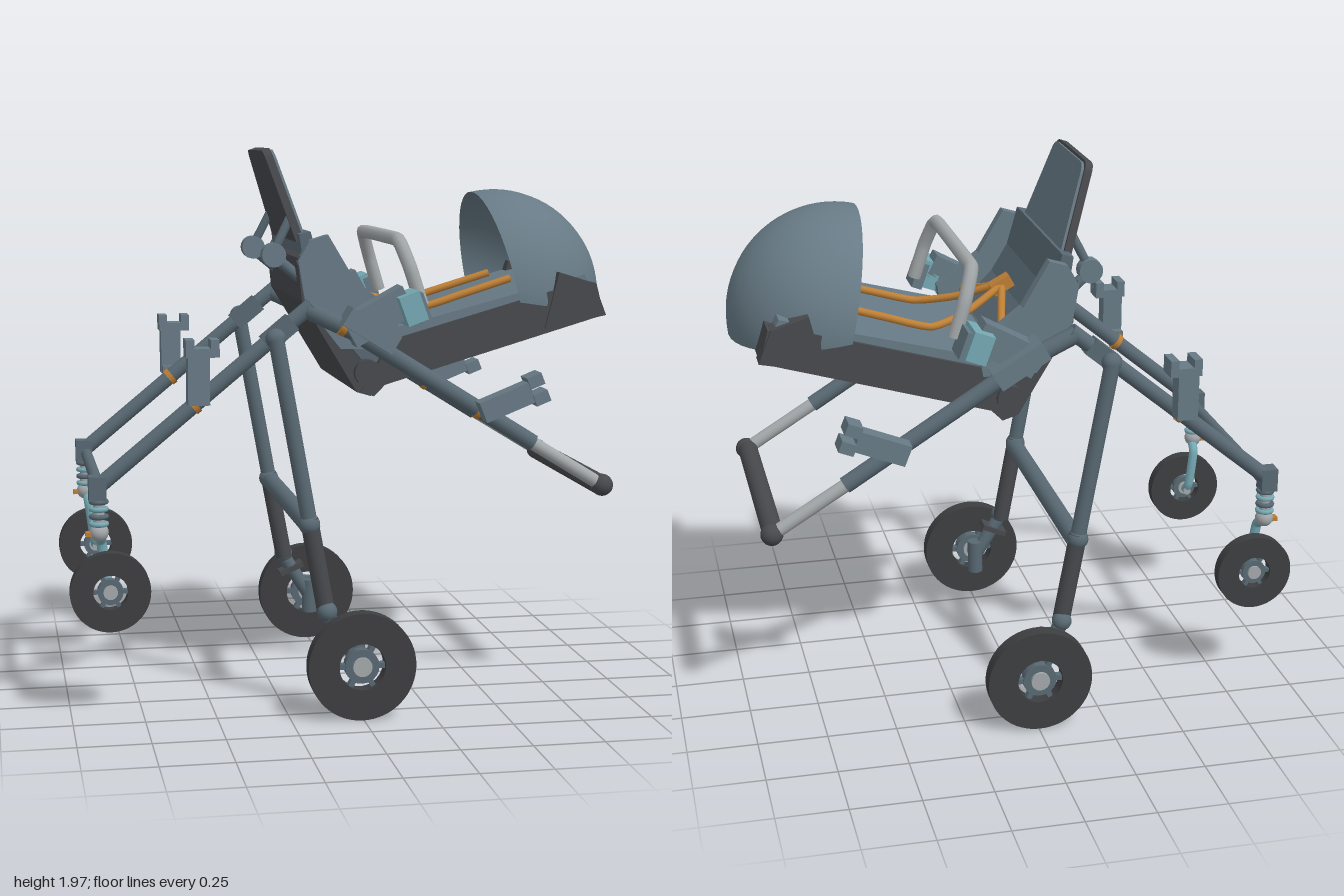
import * as THREE from 'three';
import { toCreasedNormals } from 'three/addons/utils/BufferGeometryUtils.js';

const paint = (name, color, side = THREE.FrontSide) => {
  const m = new THREE.MeshStandardMaterial({ color, side });
  m.name = name;
  return m;
};

export function createModel() {
  const slate = paint('slate', 0x677a85);
  const canopyMat = paint('canopySlate', 0x677a85, THREE.DoubleSide);
  const frame = paint('frameSlate', 0x586872);
  const dark = paint('charcoal', 0x47494d);
  const tyre = paint('tyre', 0x3d3e40);
  const silver = paint('silver', 0xa3a8aa);
  const teal = paint('teal', 0x76a9b4);
  const orange = paint('orange', 0xbd7f35);

  const root = new THREE.Group();
  root.name = 'stroller';
  const V = (p) => new THREE.Vector3(...p);

  const add = (name, geo, mat, pos = [0, 0, 0], rot = [0, 0, 0], parent = root) => {
    const m = new THREE.Mesh(geo, mat);
    m.name = name;
    m.position.set(...pos);
    m.rotation.set(...rot);
    parent.add(m);
    return m;
  };
  // straight tube between two points
  const rod = (name, mat, a, b, r, r2 = r) => {
    const d = V(b).sub(V(a));
    const m = add(name, new THREE.CylinderGeometry(r2, r, d.length(), 16), mat);
    m.position.copy(V(a)).addScaledVector(d, 0.5);
    m.quaternion.setFromUnitVectors(new THREE.Vector3(0, 1, 0), d.normalize());
    return m;
  };
  const ball = (name, mat, p, r) => add(name, new THREE.SphereGeometry(r, 16, 12), mat, p);
  const box = (name, mat, p, s, tilt = 0) => add(name, new THREE.BoxGeometry(...s), mat, p, [0, 0, tilt]);
  const bent = (name, mat, pts, r, tension = 0.3) => add(name, new THREE.TubeGeometry(
    new THREE.CatmullRomCurve3(pts.map(V), false, 'catmullrom', tension), 40, r, 10), mat);
  // side outline pushed out across the width
  const slab = (name, mat, pts, z, width) => {
    const s = new THREE.Shape(pts.map((p) => new THREE.Vector2(...p)));
    return add(name, new THREE.ExtrudeGeometry(s, { depth: width, bevelEnabled: false }), mat, [0, 0, z - width / 2]);
  };

  // wheel with open ring around a spoked hub
  const wheel = (name, x, y, z, R, w) => {
    const g = new THREE.Group();
    g.name = name;
    g.position.set(x, y, z);
    root.add(g);
    const ring = new THREE.Shape().absarc(0, 0, R, 0, Math.PI * 2);
    ring.holes.push(new THREE.Path().absarc(0, 0, R * 0.43, 0, Math.PI * 2, true));
    const geo = new THREE.ExtrudeGeometry(ring, { depth: w, bevelEnabled: false, curveSegments: 32 });
    add('tyre', toCreasedNormals(geo, 0.6), tyre, [0, 0, -w / 2], [0, 0, 0], g);
    add('hub', new THREE.CylinderGeometry(R * 0.32, R * 0.32, w * 0.7, 20), frame, [0, 0, 0], [Math.PI / 2, 0, 0], g);
    add('hubCap', new THREE.CylinderGeometry(R * 0.18, R * 0.18, w * 1.1, 16), silver, [0, 0, 0], [Math.PI / 2, 0, 0], g);
    for (let i = 0; i < 6; i++) {
      const a = i * Math.PI / 3;
      add('spoke', new THREE.BoxGeometry(R * 0.2, R * 0.1, w * 0.5), frame,
        [Math.cos(a) * R * 0.37, Math.sin(a) * R * 0.37, 0], [0, 0, a], g);
    }
  };

  for (const s of [1, -1]) {
    const z = 0.42 * s, zl = 0.485 * s;

    // large wheels and their legs
    wheel('largeWheel', -0.005, 0.195, 0.588 * s, 0.19, 0.055);
    rod('axle', silver, [-0.005, 0.195, 0.48 * s], [-0.005, 0.195, 0.58 * s], 0.022);
    rod('upperLeg', frame, [-0.285, 1.33, zl], [-0.165, 0.66, zl], 0.028);
    rod('lowerLeg', dark, [-0.172, 0.70, zl], [-0.11, 0.36, zl], 0.032);
    ball('legJoint', frame, [-0.17, 0.68, zl], 0.038);
    ball('legFoot', frame, [-0.11, 0.37, 0.5 * s], 0.036);
    rod('wheelArm', frame, [-0.11, 0.36, 0.5 * s], [-0.005, 0.195, 0.5 * s], 0.026);
    rod('wheelMount', frame, [-0.005, 0.13, 0.497 * s], [-0.005, 0.26, 0.497 * s], 0.03);
    box('brakePedal', dark, [-0.08, 0.31, 0.5 * s], [0.1, 0.02, 0.07], 0.4);
    ball('legPivot', frame, [-0.285, 1.33, 0.475 * s], 0.036);
    rod('pivotPin', frame, [-0.285, 1.33, 0.4 * s], [-0.285, 1.33, 0.5 * s], 0.024);

    // small wheels with sprung forks
    wheel('smallWheel', -0.86, 0.455, z, 0.14, 0.045);
    rod('smallAxle', silver, [-0.86, 0.455, 0.36 * s], [-0.86, 0.455, z], 0.015);
    rod('longLeg', frame, [-0.15, 1.44, z], [-0.89, 0.83, z], 0.028);
    box('legSleeve', frame, [-0.265, 1.345, z], [0.12, 0.065, 0.055], 0.69);
    box('springHousing', frame, [-0.9, 0.82, z], [0.06, 0.085, 0.06]);
    rod('springCore', silver, [-0.895, 0.64, z], [-0.895, 0.8, z], 0.02);
    for (let i = 0; i < 4; i++)
      add('springCoil', new THREE.TorusGeometry(0.026, 0.009, 8, 18), i % 2 ? frame : teal,
        [-0.895, 0.695 + i * 0.026, z], [Math.PI / 2, 0, 0]);
    ball('swivel', silver, [-0.895, 0.665, z], 0.033);
    box('swivelLock', orange, [-0.905, 0.66, z], [0.075, 0.015, 0.03]);
    bent('fork', teal, [[-0.89, 0.655, z], [-0.885, 0.62, 0.375 * s], [-0.868, 0.49, 0.367 * s], [-0.86, 0.455, 0.385 * s]], 0.018);

    // holder on the long leg
    box('holderColumn', slate, [-0.555, 1.2, 0.485 * s], [0.075, 0.18, 0.065]);
    box('holderShelf', slate, [-0.542, 1.29, 0.485 * s], [0.115, 0.03, 0.085]);
    box('holderLip', slate, [-0.585, 1.318, 0.485 * s], [0.03, 0.035, 0.085]);
    box('holderLip', slate, [-0.5, 1.318, 0.485 * s], [0.03, 0.035, 0.085]);
    rod('holderStrap', orange, [-0.57, 1.094, z], [-0.555, 1.106, z], 0.033);
    box('holderArm', slate, [-0.555, 1.125, 0.45 * s], [0.07, 0.03, 0.06]);

    // push handle arm
    rod('handleArm', frame, [-0.02, 1.355, z], [0.65, 0.935, z], 0.03);
    rod('handleExtension', silver, [0.64, 0.94, z], [0.9, 0.78, z], 0.024);
    ball('handleKnuckle', dark, [0.91, 0.775, z], 0.04);
    box('clipBody', slate, [0.53, 1.095, 0.485 * s], [0.19, 0.075, 0.07], 0.38);
    for (const o of [-0.03, 0.03])
      box('clipJaw', slate, [0.64 - o * 0.38, 1.14 + o, 0.485 * s], [0.055, 0.042, 0.085], 0.38);
    rod('clipStrap', orange, [0.445, 1.064, z], [0.46, 1.055, z], 0.034);

    // hinge block, armrest and locking button
    box('armrestBlock', slate, [0.08, 1.40, 0.43 * s], [0.24, 0.11, 0.09], 0.5);
    box('hingePlate', slate, [0.045, 1.355, 0.47 * s], [0.2, 0.07, 0.11], -0.55);
    box('lockButton', teal, [0.19, 1.43, 0.455 * s], [0.075, 0.105, 0.14], 0.35);
    box('buttonBase', slate, [0.225, 1.43, 0.44 * s], [0.04, 0.1, 0.12], 0.35);
    rod('hingeStrap', orange, [-0.05, 1.37, 0.44 * s], [-0.03, 1.36, 0.44 * s], 0.034);
    rod('frameLink', frame, [-0.17, 1.425, z], [-0.0, 1.345, z], 0.032);

    // seat sides and knobs
    slab('seatSide', slate, [[-0.19, 1.59], [-0.15, 1.66], [-0.085, 1.68], [0.01, 1.52], [0.17, 1.4],
      [0.15, 1.28], [-0.04, 1.28], [-0.165, 1.44]], 0.36 * s, 0.045);
    slab('footCorner', dark, [[0.70, 1.34], [0.73, 1.46], [0.75, 1.54], [0.88, 1.50], [0.925, 1.385]], 0.345 * s, 0.08);
    rod('seatKnob', dark, [0.055, 1.195, 0.35 * s], [0.055, 1.195, 0.395 * s], 0.047);
    rod('reclineKnob', slate, [-0.26, 1.605, 0.235 * s], [-0.26, 1.605, 0.285 * s], 0.043);
    rod('reclineLink', frame, [-0.26, 1.6, 0.26 * s], [-0.15, 1.51, 0.28 * s], 0.02);
    rod('headrestLink', frame, [-0.26, 1.61, 0.255 * s], [-0.195, 1.74, 0.24 * s], 0.016);

    // harness
    bent('legStrap', orange, [[0.01, 1.49, 0.015 * s], [0.15, 1.43, 0.1 * s], [0.29, 1.405, 0.165 * s], [0.45, 1.45, 0.162 * s], [0.63, 1.505, 0.155 * s]], 0.014);
    rod('sideStrap', orange, [0.0, 1.49, 0.01 * s], [0.075, 1.385, 0.33 * s], 0.014);
  }

  // cross bars
  rod('legCrossBar', frame, [-0.165, 0.67, -0.48], [-0.165, 0.67, 0.48], 0.034);
  rod('frontCrossBar', frame, [-0.89, 0.81, -0.42], [-0.89, 0.81, 0.42], 0.021);
  rod('handleGrip', dark, [0.905, 0.775, -0.42], [0.905, 0.775, 0.42], 0.037);

  // seat shell and cushions
  slab('footTray', dark, [[0.03, 1.125], [0.08, 1.11], [0.12, 1.15], [0.92, 1.385], [0.89, 1.5],
    [0.72, 1.472], [0.15, 1.31]], 0, 0.75);
  slab('backShell', dark, [[-0.19, 1.6], [-0.175, 1.45], [0.02, 1.125], [0.07, 1.11], [0.1, 1.15],
    [-0.14, 1.47], [-0.16, 1.62]], 0, 0.73);
  slab('backCushion', frame, [[-0.18, 1.68], [-0.14, 1.69], [-0.1, 1.55], [-0.04, 1.45], [0.07, 1.34],
    [0.16, 1.3], [0.09, 1.18], [-0.15, 1.47]], 0, 0.68);
  slab('legCushion', slate, [[0.06, 1.3], [0.07, 1.335], [0.2, 1.36], [0.85, 1.53], [0.87, 1.49], [0.16, 1.29]], 0, 0.72);
  box('buckle', orange, [0.0, 1.495, 0], [0.08, 0.045, 0.05], -0.5);

  // headrest, tapering toward rounded top corners
  const headrest = new THREE.Group();
  headrest.name = 'headrest';
  headrest.position.set(-0.155, 1.66, 0);
  headrest.rotation.z = 0.32;
  root.add(headrest);
  const panel = (k) => {
    const p = new THREE.Shape();
    p.moveTo(-0.285 * k, 0);
    p.lineTo(0.285 * k, 0);
    p.lineTo(0.21 * k, 0.3 * k);
    p.quadraticCurveTo(0.2 * k, 0.335 * k, 0.165 * k, 0.335 * k);
    p.lineTo(-0.165 * k, 0.335 * k);
    p.quadraticCurveTo(-0.2 * k, 0.335 * k, -0.21 * k, 0.3 * k);
    return p;
  };
  add('headrestShell', new THREE.ExtrudeGeometry(panel(1), { depth: 0.028, bevelEnabled: false }), dark,
    [-0.028, 0, 0], [0, Math.PI / 2, 0], headrest);
  add('headrestPad', new THREE.ExtrudeGeometry(panel(0.96), { depth: 0.01, bevelEnabled: false }), slate,
    [0, 0.004, 0], [0, Math.PI / 2, 0], headrest);

  // canopy: a slice of a sphere hinged on the width axis
  const canopy = new THREE.SphereGeometry(0.39, 24, 24, 0, 1.94);
  canopy.rotateX(Math.PI / 2);
  // turn the slice so it runs from just below the foot end up over the seat
  canopy.computeBoundingSphere();
  const c = canopy.boundingSphere.center;
  canopy.rotateZ(0.85 - Math.atan2(c.y, c.x));
  add('canopy', canopy, canopyMat, [0.605, 1.435, 0]);

  // grab bar
  bent('grabBar', silver, [[0.25, 1.43, -0.38], [0.21, 1.56, -0.37], [0.18, 1.65, -0.33], [0.175, 1.66, -0.27],
    [0.175, 1.66, 0.27], [0.18, 1.65, 0.33], [0.21, 1.56, 0.37], [0.25, 1.43, 0.38]], 0.025);

  return root;
}
